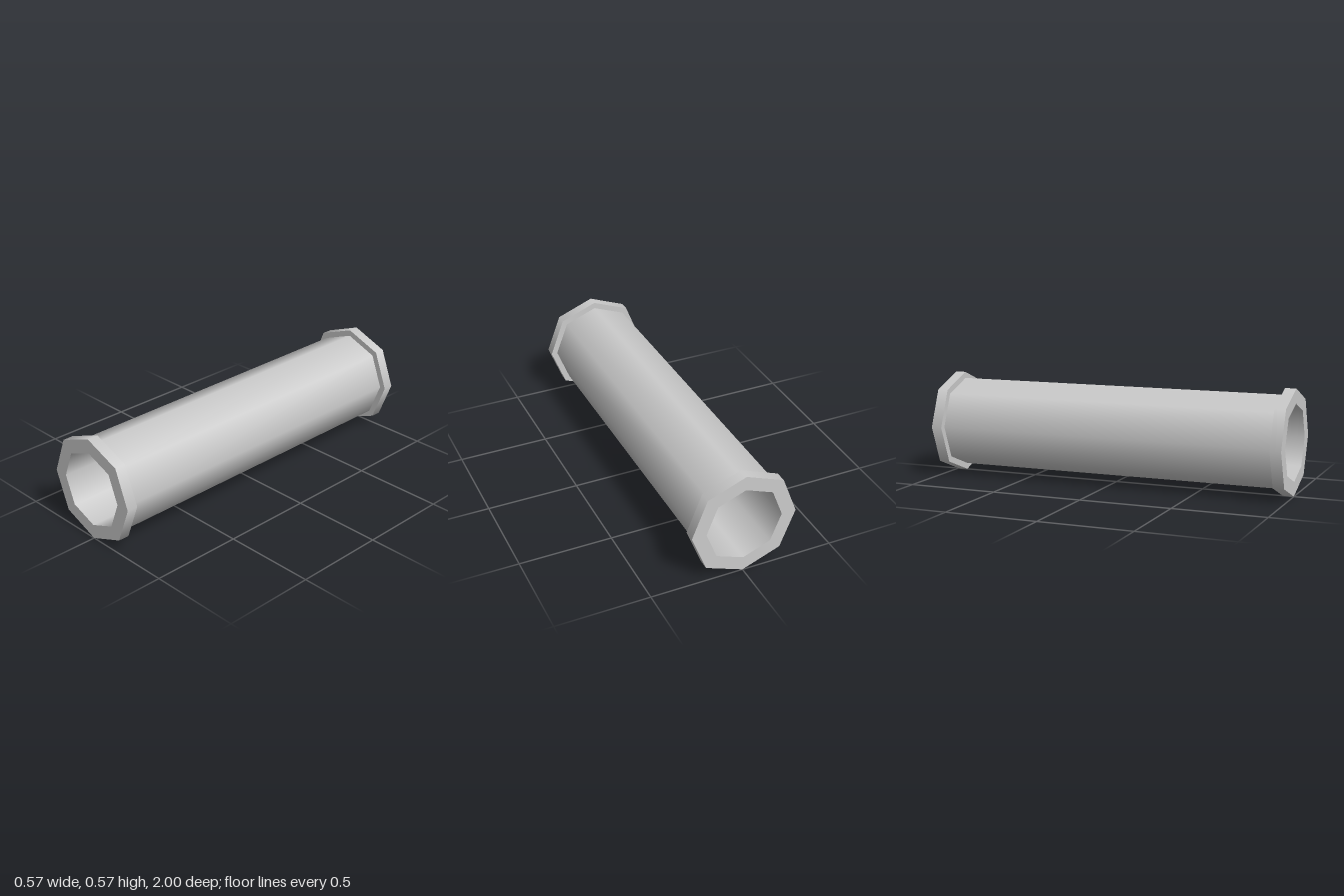
import * as THREE from 'three';
import { mergeGeometries } from 'three/addons/utils/BufferGeometryUtils.js';

const SIDES = 8;
const BORE = 0.206, BARREL = 0.249, FLANGE = 0.284;
const END = 1, SHOULDER = 0.94;

// One eight-sided band between two [radius, z] points, smooth around the axis.
function band(from, to) {
  const points = [from, to].map(([r, z]) => new THREE.Vector2(r, z));
  const geometry = new THREE.LatheGeometry(points, SIDES).rotateX(Math.PI / 2);
  // The diagonal corners sit slightly further out than the upright ones.
  const pos = geometry.attributes.position;
  for (let i = 0; i < pos.count; i++) {
    const x = pos.getX(i), y = pos.getY(i);
    if (Math.abs(x * y) > 1e-4) pos.setXY(i, x * 1.017, y * 1.017);
  }
  return geometry;
}

// A run of bands along a profile, with a sharp edge at each profile point.
function profileGeometry(profile) {
  return mergeGeometries(profile.slice(1).map((p, i) => band(profile[i], p)));
}

export function createModel() {
  const group = new THREE.Group();
  group.name = 'flangedPipe';
  const material = new THREE.MeshStandardMaterial({ color: 0xcccccc });

  const add = (name, geometry) => {
    const mesh = new THREE.Mesh(geometry, material);
    mesh.name = name;
    mesh.position.y = FLANGE;
    group.add(mesh);
    return mesh;
  };

  // Pipe body and the bore running through it
  add('barrel', band([BARREL, -SHOULDER], [BARREL, SHOULDER]));
  add('bore', band([BORE, END], [BORE, -END]));

  // Collar at each end: shoulder, rim and end face
  const collar = profileGeometry([
    [BARREL, SHOULDER], [FLANGE, SHOULDER], [FLANGE, END], [BORE, END],
  ]);
  add('frontFlange', collar);
  add('backFlange', collar).rotation.y = Math.PI;

  return group;
}
